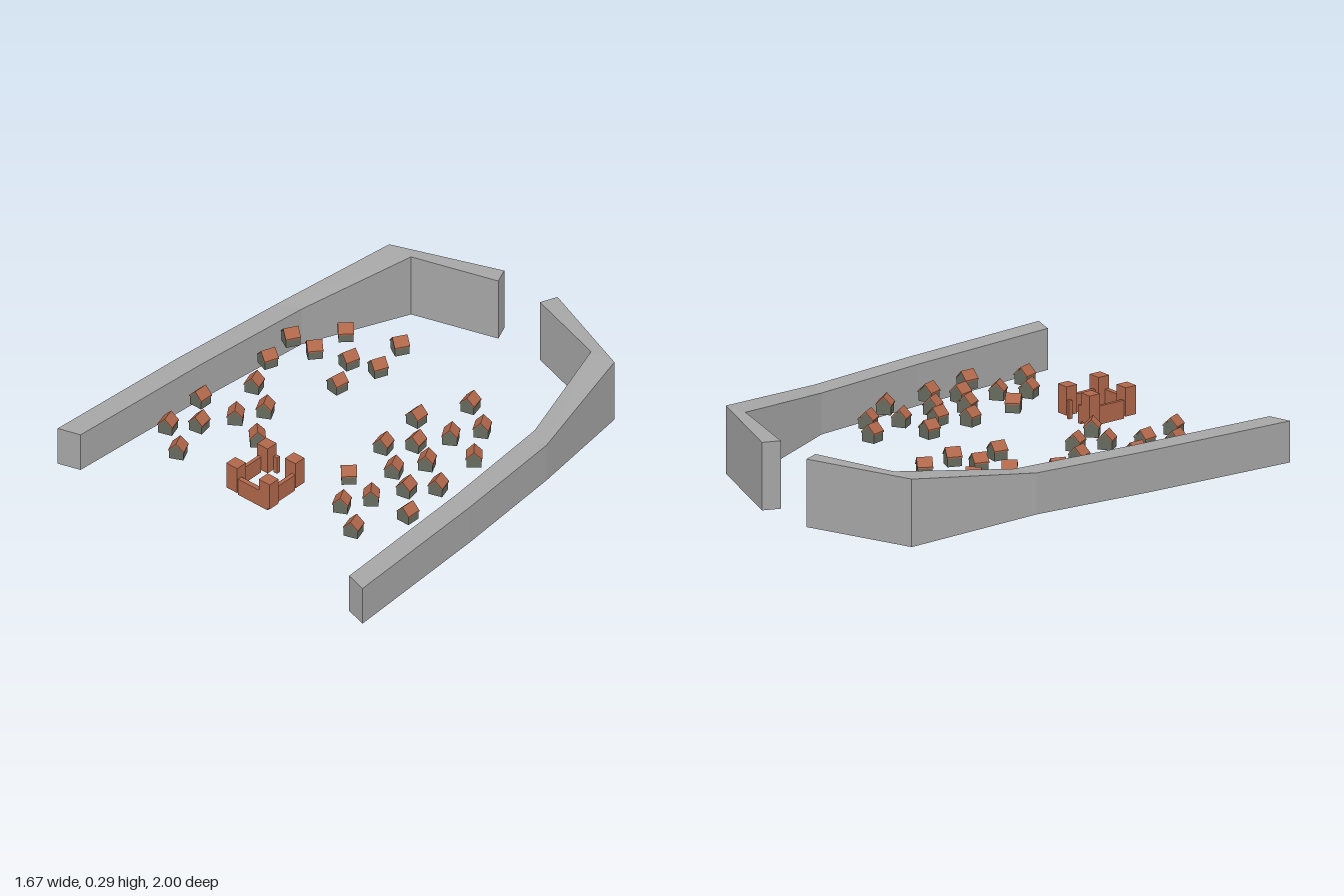
import * as THREE from 'three';

const stone = new THREE.MeshStandardMaterial({ name: 'wallStone', color: 0xa6a6a6 });
const brick = new THREE.MeshStandardMaterial({ name: 'terracotta', color: 0xb0674a });
const plaster = new THREE.MeshStandardMaterial({ name: 'houseStone', color: 0x666a5e });

function addMesh(parent, name, geometry, material) {
  const mesh = new THREE.Mesh(geometry, material);
  mesh.name = name;
  parent.add(mesh);
  return mesh;
}

// Box given by its lower and upper corners
function addBox(parent, name, x0, x1, y0, y1, z0, z1) {
  addMesh(parent, name, new THREE.BoxGeometry(x1 - x0, y1 - y0, z1 - z0), brick)
    .position.set((x0 + x1) / 2, (y0 + y1) / 2, (z0 + z1) / 2);
}

// City wall swept through stations [outerX, outerZ, innerX, innerZ, bottom, top]
function wallGeometry(stations, flip) {
  const pos = [];
  const tri = (a, b, c) => pos.push(...a, ...(flip ? c : b), ...(flip ? b : c));
  const quad = (a, b, c, d) => { tri(a, b, c); tri(a, c, d); };
  const rings = stations.map(([ox, oz, ix, iz, lo, hi]) =>
    [[ix, lo, iz], [ox, lo, oz], [ox, hi, oz], [ix, hi, iz]]);
  for (let i = 0; i < rings.length - 1; i++) {
    for (let j = 0; j < 4; j++) {
      const k = (j + 1) % 4;
      quad(rings[i][j], rings[i][k], rings[i + 1][k], rings[i + 1][j]);
    }
  }
  quad(...[...rings[0]].reverse());
  quad(...rings[rings.length - 1]);
  const geometry = new THREE.BufferGeometry();
  geometry.setAttribute('position', new THREE.Float32BufferAttribute(pos, 3));
  geometry.computeVertexNormals();
  return geometry;
}

// Extrude a profile along z, centred
function prism(points, depth) {
  const shape = new THREE.Shape(points.map(([x, y]) => new THREE.Vector2(x, y)));
  return new THREE.ExtrudeGeometry(shape, { depth, bevelEnabled: false }).translate(0, 0, -depth / 2);
}

export function createModel() {
  const model = new THREE.Group();
  model.name = 'walledTown';

  // City walls, lower at the front and taller at the back
  addMesh(model, 'rightWall', wallGeometry([
    [-0.84, 0.995, -0.74, 0.965, 0.06, 0.24],
    [-0.795, 0.3, -0.695, 0.28, 0.06, 0.24],
    [-0.74, -0.25, -0.64, -0.29, 0.06, 0.24],
    [-0.62, -0.81, -0.495, -0.805, 0, 0.295],
    [-0.145, -0.99, -0.115, -0.92, 0, 0.295],
  ], false), stone);
  addMesh(model, 'leftWall', wallGeometry([
    [0.835, 0.985, 0.735, 0.955, 0.06, 0.24],
    [0.79, 0.27, 0.69, 0.24, 0.06, 0.24],
    [0.74, -0.26, 0.635, -0.305, 0.06, 0.24],
    [0.615, -0.82, 0.495, -0.81, 0, 0.295],
    [0.14, -1.0, 0.11, -0.925, 0, 0.295],
  ], true), stone);

  // Houses: [x, z, ridge angle in degrees]
  const houses = [
    [-0.235, -0.445, 30], [-0.463, -0.365, 45], [-0.61, -0.19, 30], [-0.48, -0.19, 40],
    [-0.325, -0.23, 15], [-0.2, -0.27, 22], [-0.25, -0.075, 8], [-0.58, -0.015, 20],
    [-0.505, 0.153, -20], [-0.357, 0.25, -28], [-0.607, 0.372, 0], [-0.417, 0.367, -35],
    [-0.25, 0.42, -45], [-0.495, 0.505, -10], [-0.583, 0.6, -18], [-0.437, 0.7, -25],
    [0.25, -0.338, -15], [0.4, -0.243, -30], [0.147, -0.12, -2], [0.337, -0.12, -32],
    [0.51, -0.07, -40], [0.262, 0.012, -10], [0.172, 0.112, -15], [0.383, 0.08, -28],
    [0.315, 0.208, -25], [0.53, 0.175, -18], [0.442, 0.272, -12], [0.203, 0.362, 45],
    [0.373, 0.413, -38], [0.563, 0.4, 0], [0.315, 0.53, -28], [0.463, 0.623, -18],
  ];
  const bodyGeometry = prism([[-0.031, 0], [0.031, 0], [0.031, 0.04], [0, 0.072], [-0.031, 0.04]], 0.062);
  const roofGeometry = prism([[-0.034, 0.037], [0, 0.072], [0.034, 0.037], [0.034, 0.043], [0, 0.078], [-0.034, 0.043]], 0.066);
  for (const [x, z, angle] of houses) {
    const house = new THREE.Group();
    house.name = 'house';
    addMesh(house, 'houseBody', bodyGeometry, plaster);
    addMesh(house, 'houseRoof', roofGeometry, brick);
    house.position.set(x, 0.14, z);
    house.rotation.y = -THREE.MathUtils.degToRad(angle);
    model.add(house);
  }

  // Castle: four corner towers joined by thin walls, gate open at the back
  const castle = new THREE.Group();
  castle.name = 'castle';
  const towers = [
    [-0.135, -0.077, 0.495, 0.55], [0.018, 0.077, 0.495, 0.55],
    [-0.14, -0.08, 0.68, 0.735], [0.035, 0.095, 0.675, 0.73],
  ];
  for (const [x0, x1, z0, z1] of towers) addBox(castle, 'tower', x0, x1, 0.14, 0.265, z0, z1);
  const curtains = [
    [-0.128, -0.113, 0.55, 0.68], [0.057, 0.075, 0.55, 0.675],
    [-0.08, 0.082, 0.708, 0.729], [-0.077, -0.057, 0.496, 0.514], [0.003, 0.018, 0.496, 0.514],
  ];
  for (const [x0, x1, z0, z1] of curtains) addBox(castle, 'curtainWall', x0, x1, 0.128, 0.208, z0, z1);
  model.add(castle);

  return model;
}
